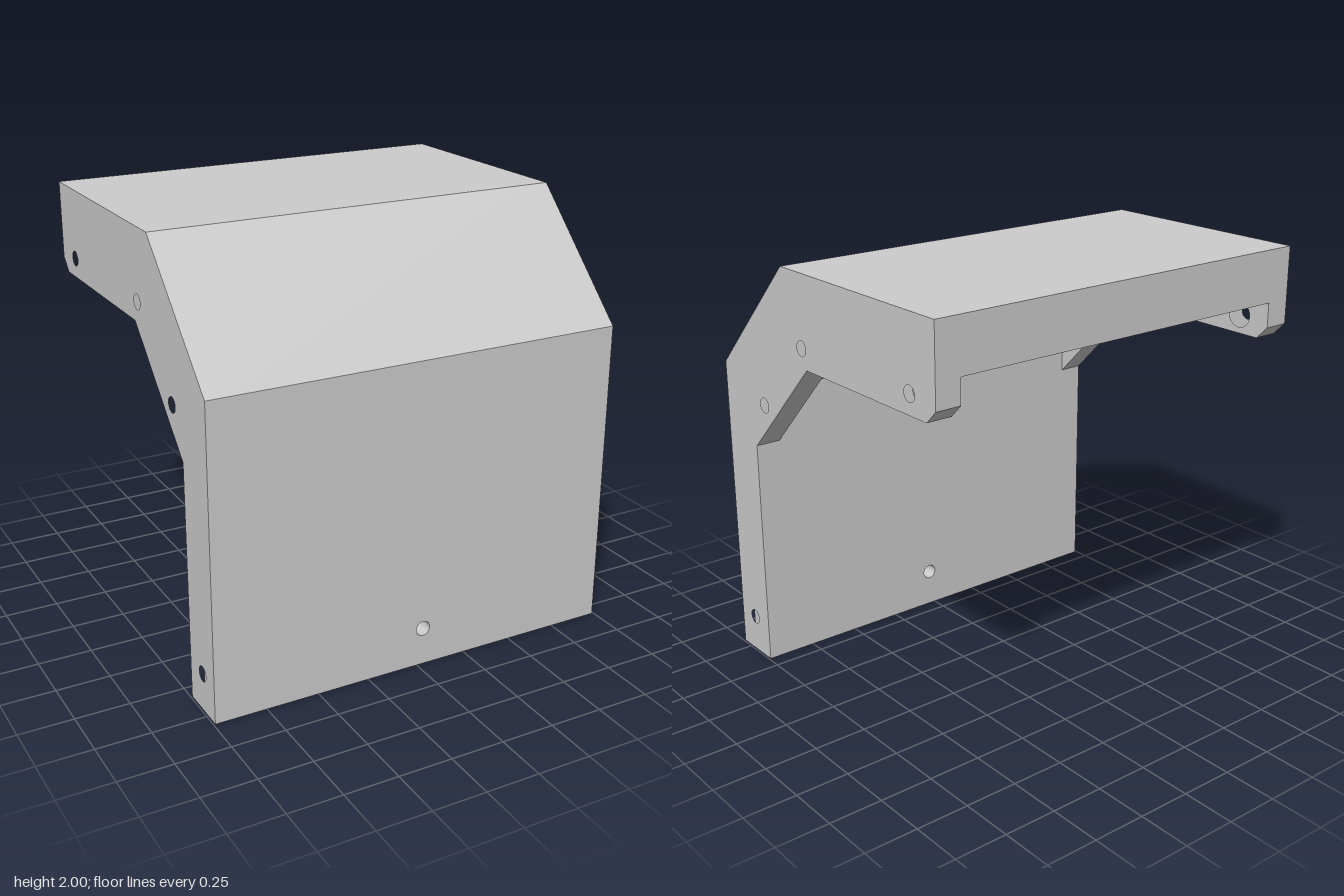
import * as THREE from 'three';

const HALF = 0.992;      // half width
const RIB = 0.12;        // width of each side rib
const INNER = HALF - RIB; // half width between the ribs
const BORE = 0.035;      // screw hole radius
const SINK = 0.062;      // counterbore radius

const material = new THREE.MeshStandardMaterial({ color: 0xcccccc });

// Side profiles as [z, y]
const ribProfile = [
  [0.82, 0], [0.82, 1.455], [0.275, 2], [-0.82, 2], [-0.82, 1.64],
  [-0.76, 1.58], [0.1, 1.58], [0.575, 1.105], [0.575, 0],
];
const hoodProfile = [
  [0.82, 1.355], [0.82, 1.455], [0.275, 2], [-0.82, 2],
  [-0.82, 1.755], [0.175, 1.755], [0.575, 1.355],
];
const ribHoles = [[0.135, 1.67], [0.48, 1.325], [-0.65, 1.67]];
const footHole = [0.7, 0.18];

function addHole(shape, x, y, radius) {
  const hole = new THREE.Path();
  hole.absarc(x, y, radius, 0, Math.PI * 2, true);
  shape.holes.push(hole);
}

// Extrudes a [z, y] profile along x from x0 to x1; holes are [z, y, radius]
function sideExtrude(name, profile, x0, x1, holes = []) {
  const shape = new THREE.Shape(profile.map(([z, y]) => new THREE.Vector2(-z, y)));
  holes.forEach(([z, y, r]) => addHole(shape, -z, y, r));
  const geometry = new THREE.ExtrudeGeometry(shape, {
    depth: x1 - x0, bevelEnabled: false, curveSegments: 24,
  });
  geometry.rotateY(Math.PI / 2).translate(x0, 0, 0);
  const mesh = new THREE.Mesh(geometry, material);
  mesh.name = name;
  return mesh;
}

export function createModel() {
  const group = new THREE.Group();
  group.name = 'anglePlateCover';

  // Front wall with its screw hole
  const wallShape = new THREE.Shape([
    new THREE.Vector2(-INNER, 0), new THREE.Vector2(INNER, 0),
    new THREE.Vector2(INNER, 1.355), new THREE.Vector2(-INNER, 1.355),
  ]);
  addHole(wallShape, 0.03, 0.18, BORE);
  const wallGeometry = new THREE.ExtrudeGeometry(wallShape, {
    depth: 0.245, bevelEnabled: false, curveSegments: 24,
  });
  wallGeometry.translate(0, 0, 0.575);
  const wall = new THREE.Mesh(wallGeometry, material);
  wall.name = 'frontWall';
  group.add(wall);

  // Sloped shoulder and top plate
  group.add(sideExtrude('slopedHood', hoodProfile, -INNER, INNER));

  // Side ribs: outer layer with screw holes, inner layer with counterbores
  const foot = [...footHole, BORE];
  const screwHoles = [...ribHoles.map((h) => [...h, BORE]), foot];
  const sinkHoles = [...ribHoles.map((h) => [...h, SINK]), foot];
  const middle = HALF - RIB / 2;
  for (const [side, s] of [['left', 1], ['right', -1]]) {
    const rib = new THREE.Group();
    rib.name = side + 'Rib';
    const layer = (name, a, b, holes) =>
      rib.add(sideExtrude(name, ribProfile, Math.min(s * a, s * b), Math.max(s * a, s * b), holes));
    layer('ribOuterLayer', middle, HALF, screwHoles);
    layer('ribCounterboredLayer', INNER, middle, sinkHoles);
    group.add(rib);
  }
  return group;
}
